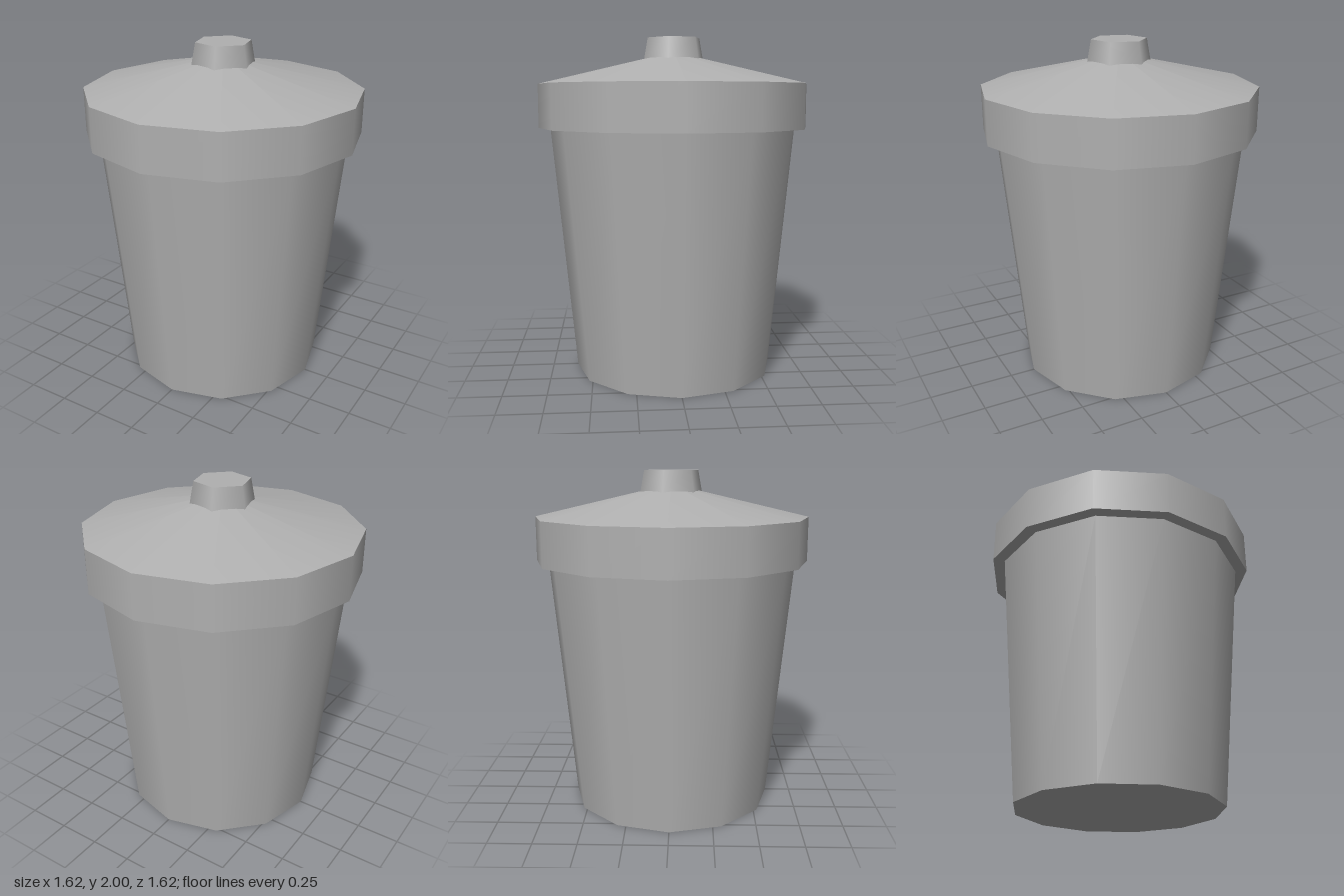
import * as THREE from 'three';

export function createModel() {
  const bin = new THREE.Group();
  bin.name = 'trashCan';
  const grey = new THREE.MeshStandardMaterial({ color: 0xb0b0b0 });
  grey.name = 'grey metal';

  // Tapered prism standing between two heights, smooth around its sides
  function frustum(name, rTop, rBottom, y0, y1, sides, open = false, turn = 0) {
    const geometry = new THREE.CylinderGeometry(rTop, rBottom, y1 - y0, sides, 1, open, turn);
    const mesh = new THREE.Mesh(geometry, grey);
    mesh.name = name;
    mesh.position.y = (y0 + y1) / 2;
    bin.add(mesh);
    return mesh;
  }

  // Bucket, narrower at the foot
  frustum('body', 0.74, 0.6, 0, 1.47, 12);

  // Lid: upright rim, flat underside and shallow cone
  frustum('lidRim', 0.81, 0.81, 1.47, 1.73, 12, true);
  frustum('lidCone', 0, 0.81, 1.73, 1.92, 12, true);
  const underside = new THREE.Mesh(new THREE.CircleGeometry(0.81, 12), grey);
  underside.name = 'lidUnderside';
  underside.rotation.x = Math.PI / 2;
  underside.position.y = 1.47;
  bin.add(underside);

  // Six-sided handle, turned slightly
  frustum('knob', 0.163, 0.187, 1.87, 2, 6, false, Math.PI / 12);

  return bin;
}
